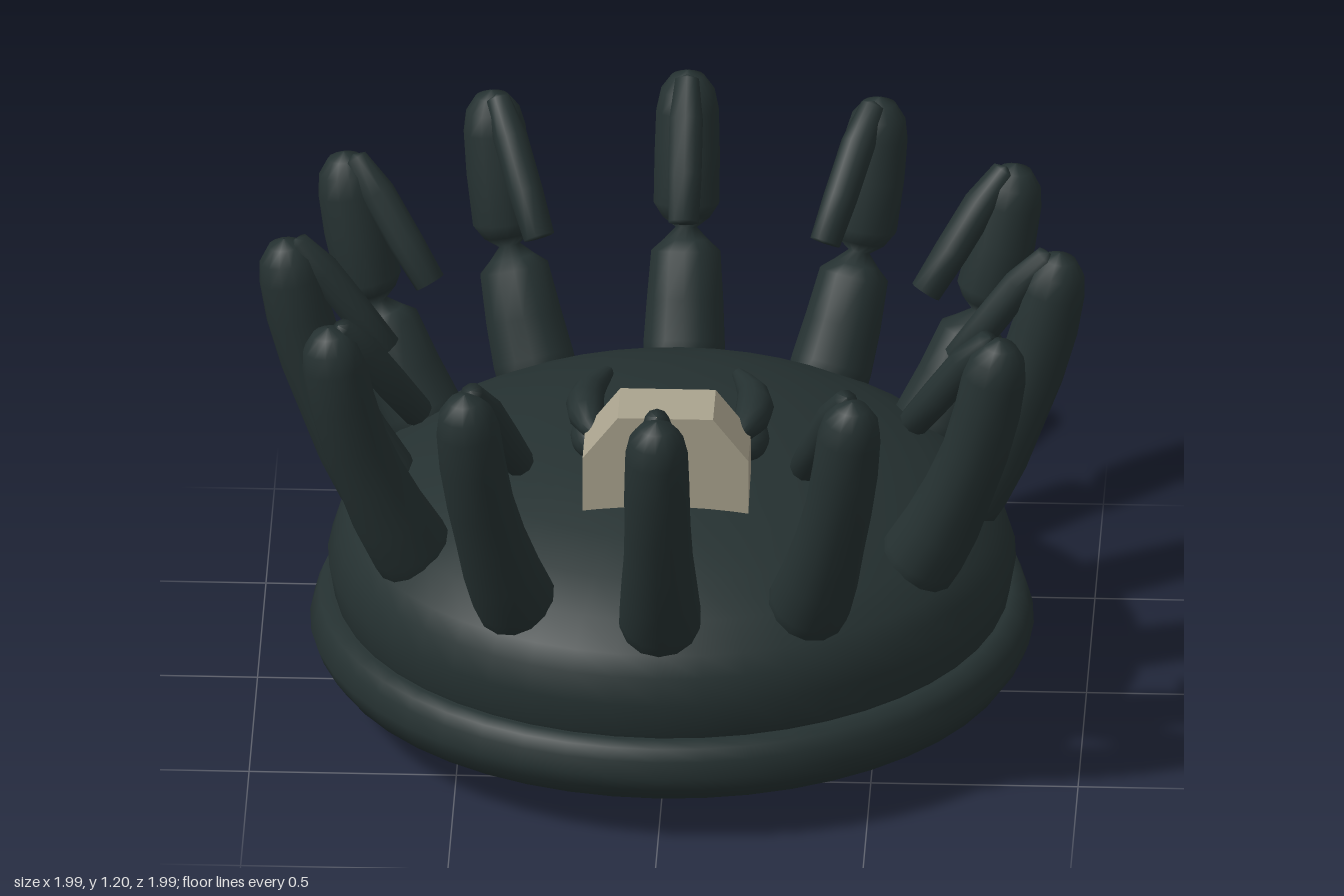
import * as THREE from 'three';

const dark = new THREE.MeshStandardMaterial({ color: 0x253131 });
dark.name = 'dark slate';
const beige = new THREE.MeshStandardMaterial({ color: 0xaaa38e });
beige.name = 'beige';

const v = (x, y, z) => new THREE.Vector3(x, y, z);

function add(parent, name, geometry, material = dark) {
  const mesh = new THREE.Mesh(geometry, material);
  mesh.name = name;
  parent.add(mesh);
  return mesh;
}

const lathe = (points) =>
  new THREE.LatheGeometry(points.map(([r, y]) => new THREE.Vector2(r, y)), 48);

// Round limb swept through stations [x, y, z, radius]
function limb(stations, sides = 14) {
  const n = stations.length;
  const centres = stations.map(([x, y, z]) => v(x, y, z));
  const pos = [], index = [];
  centres.forEach((c, i) => {
    const t = centres[Math.min(i + 1, n - 1)].clone().sub(centres[Math.max(i - 1, 0)]).normalize();
    const ref = Math.abs(t.z) > 0.7 ? v(0, 1, 0) : v(0, 0, 1);
    const a = ref.cross(t).normalize();
    const b = t.clone().cross(a);
    for (let j = 0; j < sides; j++) {
      const w = (j / sides) * Math.PI * 2;
      const p = c.clone()
        .addScaledVector(a, Math.cos(w) * stations[i][3])
        .addScaledVector(b, Math.sin(w) * stations[i][3]);
      pos.push(p.x, p.y, p.z);
      if (i < n - 1) {
        const k = (j + 1) % sides;
        const p0 = i * sides + j, p1 = i * sides + k;
        index.push(p0, p1, p1 + sides, p0, p1 + sides, p0 + sides);
      }
    }
  });
  const g = new THREE.BufferGeometry();
  g.setAttribute('position', new THREE.Float32BufferAttribute(pos, 3));
  g.setIndex(index);
  g.computeVertexNormals();
  return g;
}

// Finger stations, leaning outward along +x
const lower = [
  [0.665, 0.48, 0, 0.001], [0.67, 0.49, 0, 0.1], [0.72, 0.57, 0, 0.1],
  [0.77, 0.66, 0, 0.094], [0.82, 0.77, 0, 0.085],
];
const upper = [
  [0.865, 0.88, 0, 0.081], [0.9, 1.0, 0, 0.08], [0.92, 1.1, 0, 0.077],
  [0.93, 1.15, 0, 0.066], [0.935, 1.185, 0, 0.04], [0.936, 1.2, 0, 0.001],
];
const waist = [
  [0.83, 0.795, 0, 0.055], [0.843, 0.822, 0, 0.026], [0.853, 0.845, 0, 0.058],
];

export function createModel() {
  const model = new THREE.Group();
  model.name = 'clawedDome';

  // Body: shallow bowl, rim band and dome
  add(model, 'bowl', lathe([
    [0, 0.012], [0.15, 0.018], [0.3, 0.038], [0.45, 0.072], [0.6, 0.12], [0.72, 0.165], [0.8, 0.2],
  ]));
  add(model, 'rim', lathe([
    [0.7, 0.18], [0.73, 0.13], [0.76, 0.12], [0.8, 0.12], [0.835, 0.13],
    [0.86, 0.165], [0.873, 0.2], [0.862, 0.24], [0.85, 0.27], [0.82, 0.28], [0.78, 0.28],
  ]));
  add(model, 'dome', lathe([
    [0.8, 0.26], [0.815, 0.29], [0.83, 0.375], [0.81, 0.44], [0.785, 0.49], [0.72, 0.55],
    [0.62, 0.61], [0.5, 0.66], [0.35, 0.705], [0.18, 0.733], [0, 0.74],
  ]));

  // Ring of fingers; those at the back have a pinched knuckle
  const plainFinger = limb([...lower, ...upper]);
  const knuckleFinger = limb([...lower, ...waist, ...upper]);
  const claw = limb([
    [0.91, 1.2, 0, 0.001], [0.905, 1.19, 0, 0.03], [0.84, 1.115, 0, 0.042],
    [0.76, 1.005, 0, 0.042], [0.69, 0.912, 0, 0.038], [0.688, 0.91, 0, 0.001],
  ], 10);
  for (let i = 0; i < 12; i++) {
    const finger = new THREE.Group();
    finger.name = 'finger' + (i + 1);
    add(finger, 'fingerStem', i > 0 && i < 6 ? knuckleFinger : plainFinger);
    add(finger, 'foldedClaw', claw);
    finger.rotation.y = (i * Math.PI) / 6;
    model.add(finger);
  }

  // Bevelled block set into the dome
  const outline = new THREE.Shape([
    [-0.2, 0.62], [0.2, 0.62], [0.2, 0.82], [0.115, 0.93], [-0.115, 0.93], [-0.2, 0.82],
  ].map(([x, y]) => new THREE.Vector2(x, y)));
  const block = add(model, 'block',
    new THREE.ExtrudeGeometry(outline, { depth: 0.16, bevelEnabled: false }), beige);
  block.position.z = 0.23;

  // Pair of curved horns, each resting on a rounded knob
  for (const s of [1, -1]) {
    add(model, 'horn', limb([
      [s * 0.165, 0.825, 0.29, 0.003], [s * 0.185, 0.828, 0.24, 0.028], [s * 0.2, 0.83, 0.18, 0.043],
      [s * 0.205, 0.83, 0.12, 0.046], [s * 0.198, 0.828, 0.05, 0.038], [s * 0.178, 0.826, -0.01, 0.027],
      [s * 0.158, 0.825, -0.06, 0.016], [s * 0.15, 0.825, -0.08, 0.002],
    ], 12));
    const knob = add(model, 'knob', new THREE.SphereGeometry(1, 16, 12));
    knob.scale.set(0.065, 0.055, 0.085);
    knob.position.set(s * 0.175, 0.745, 0.12);
  }
  return model;
}
